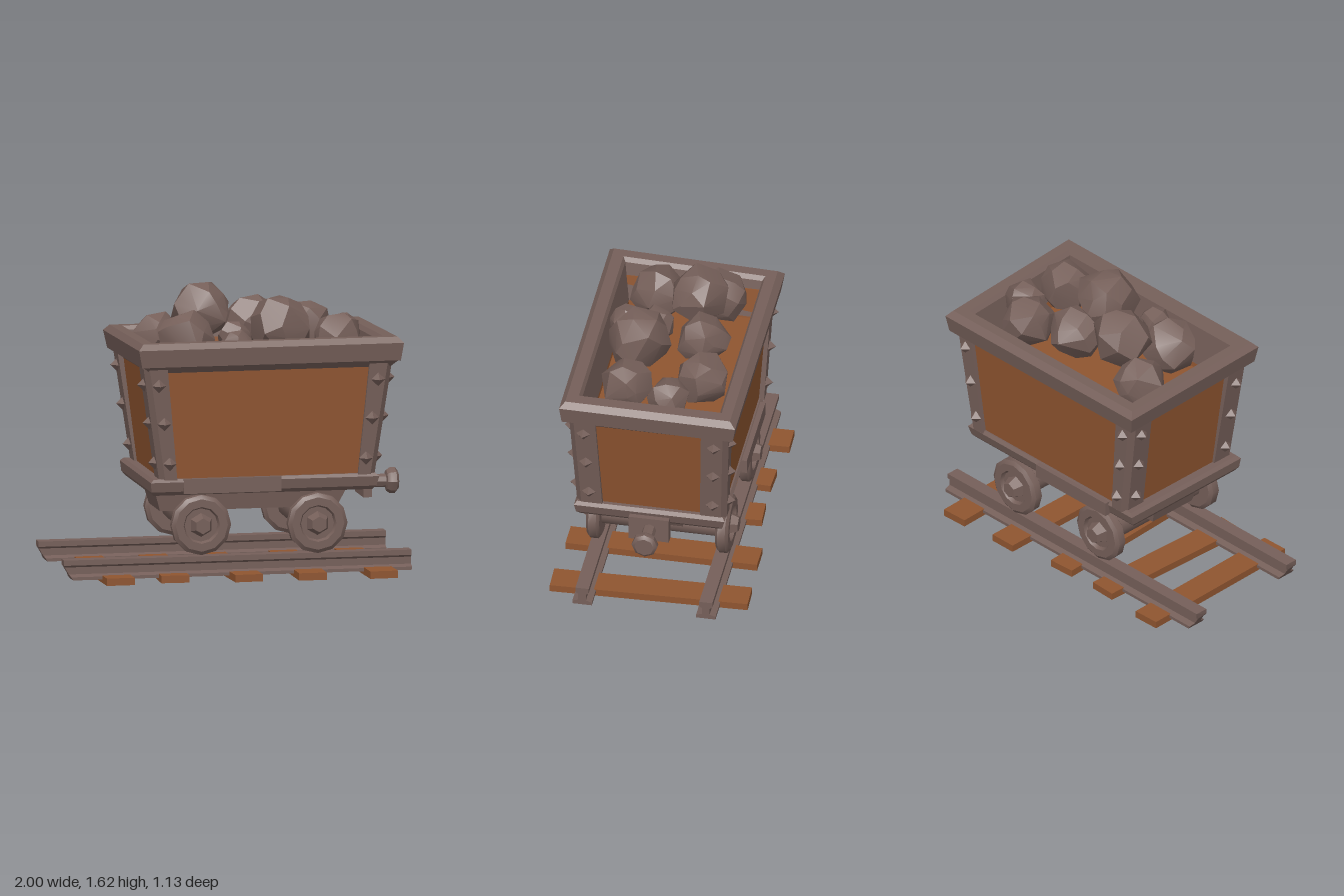
import * as THREE from 'three';
import { toCreasedNormals } from 'three/addons/utils/BufferGeometryUtils.js';
import { ConvexGeometry } from 'three/addons/geometries/ConvexGeometry.js';

const iron = new THREE.MeshStandardMaterial({ color: 0x755f59 });
iron.name = 'iron';
const wood = new THREE.MeshStandardMaterial({ color: 0x8f5530 });
wood.name = 'wood';

// Small seeded random generator
function seeded(seed) {
  let s = seed;
  return () => (s = (s * 16807) % 2147483647) / 2147483647;
}

// Counter-clockwise (from above) rectangle
const rect = (x0, x1, z0, z1) => [[x0, z1], [x1, z1], [x1, z0], [x0, z0]];

// Skin rings of [y, points]; caps close the first and last ring
function loft(rings, capBottom = true, capTop = true) {
  const pos = [];
  const put = ([y, pts], i) => pos.push(pts[i][0], y, pts[i][1]);
  const n = rings[0][1].length;
  for (let r = 0; r + 1 < rings.length; r++) {
    const a = rings[r], b = rings[r + 1];
    for (let i = 0; i < n; i++) {
      const j = (i + 1) % n;
      put(a, i); put(a, j); put(b, j);
      put(a, i); put(b, j); put(b, i);
    }
  }
  const first = rings[0], last = rings[rings.length - 1];
  for (let i = 1; i + 1 < n; i++) {
    if (capBottom) { put(first, 0); put(first, i + 1); put(first, i); }
    if (capTop) { put(last, 0); put(last, i); put(last, i + 1); }
  }
  const g = new THREE.BufferGeometry();
  g.setAttribute('position', new THREE.Float32BufferAttribute(pos, 3));
  g.computeVertexNormals();
  return g;
}

export function createModel() {
  const model = new THREE.Group();
  const add = (name, geo, mat, x = 0, y = 0, z = 0, parent = model) => {
    const m = new THREE.Mesh(geo, mat);
    m.name = name;
    m.position.set(x, y, z);
    parent.add(m);
    return m;
  };
  const crease = (g) => toCreasedNormals(g, 0.6);

  // Track sleepers: x, z centre, length, slight turn
  [[-0.71, 0, 1.04, -0.02], [-0.36, 0, 0.98, 0.04], [0.01, 0.02, 1.03, -0.05],
    [0.4, 0, 1.1, 0], [0.79, 0, 1.13, -0.03]].forEach(([x, z, len, turn]) => {
    add('sleeper', new THREE.BoxGeometry(0.16, 0.042, len), wood, x, 0.021, z).rotation.y = -turn;
  });

  // Rails with an I section and a slanted left end
  const section = new THREE.Shape([[-0.056, 0.02], [0.056, 0.02], [0.056, 0.038], [0.022, 0.05],
    [0.022, 0.09], [0.038, 0.102], [0.038, 0.132], [-0.038, 0.132], [-0.038, 0.102],
    [-0.022, 0.09], [-0.022, 0.05], [-0.056, 0.038]].map((p) => new THREE.Vector2(...p)));
  const railGeo = new THREE.ExtrudeGeometry(section, { depth: 2, bevelEnabled: false });
  railGeo.translate(0, 0, -1).rotateY(Math.PI / 2);
  const rp = railGeo.attributes.position;
  for (let i = 0; i < rp.count; i++) {
    if (rp.getX(i) < -0.9) rp.setX(i, -1 + 0.6 * Math.max(0, 0.1 - rp.getY(i)));
  }
  railGeo.computeVertexNormals();
  for (const s of [1, -1]) add('rail', railGeo, iron, 0, 0, 0.355 * s);

  // Wheels, hub nuts and axles
  const rim = [[0, -0.038], [0.15, -0.038], [0.172, -0.022], [0.172, 0.022], [0.15, 0.038],
    [0.105, 0.038], [0.095, 0.016], [0, 0.016]].map((p) => new THREE.Vector2(...p));
  const wheelGeo = crease(new THREE.LatheGeometry(rim, 12));
  const nutGeo = new THREE.CylinderGeometry(0.045, 0.072, 0.065, 6).toNonIndexed();
  nutGeo.computeVertexNormals();
  const axleGeo = crease(new THREE.CylinderGeometry(0.082, 0.082, 0.68, 12));
  for (const [x, y] of [[-0.21, 0.31], [0.46, 0.3]]) {
    add('axle', axleGeo, iron, x, y, 0).rotation.x = Math.PI / 2;
    for (const s of [1, -1]) {
      const wheel = new THREE.Group();
      wheel.name = 'wheel';
      wheel.position.set(x, y, 0.37 * s);
      wheel.rotation.x = s * Math.PI / 2;
      add('wheelRim', wheelGeo, iron, 0, 0, 0, wheel);
      add('hubNut', nutGeo, iron, 0, 0.04, 0, wheel);
      model.add(wheel);
    }
  }

  // Chassis: under beam, deck and side plates
  add('underBeam', loft([[0.36, rect(-0.4, 0.62, -0.15, 0.16)], [0.5, rect(-0.44, 0.69, -0.17, 0.18)]]), iron);
  add('deck', loft([
    [0.488, rect(-0.49, 0.77, -0.39, 0.41)], [0.51, rect(-0.505, 0.79, -0.41, 0.43)],
    [0.565, rect(-0.51, 0.805, -0.425, 0.44)], [0.582, rect(-0.49, 0.785, -0.41, 0.425)]]), iron);
  for (const s of [1, -1]) add('sidePlate', new THREE.BoxGeometry(0.56, 0.084, 0.03), iron, -0.04, 0.54, 0.43 * s);

  // Coupler at the right-hand end
  add('couplerPlate', new THREE.BoxGeometry(0.05, 0.15, 0.23), iron, 0.805, 0.47, 0.005);
  const coupler = [[0, 0.0], [0.038, 0.0], [0.038, 0.11], [0.06, 0.115], [0.074, 0.135],
    [0.074, 0.165], [0.055, 0.18], [0, 0.18]].map((p) => new THREE.Vector2(...p));
  add('coupler', crease(new THREE.LatheGeometry(coupler, 8)), iron, 0.82, 0.47, 0).rotation.z = -Math.PI / 2;

  // Tapered wooden tub, open at the top with a raised inner floor
  add('tub', loft([
    [0.57, rect(-0.44, 0.76, -0.4, 0.41)], [1.26, rect(-0.525, 0.87, -0.44, 0.44)],
    [1.26, rect(-0.46, 0.81, -0.38, 0.38)], [1.08, rect(-0.43, 0.78, -0.36, 0.36)]]), wood);

  // Angle irons wrapped around the four corners
  const cx = 0.165, y0 = 0.57, y1 = 1.25;
  const angle = (sx, sz, X, Z, xi, zi) => {
    const t = 0.05, c = 0.03;
    const pts = [[xi, Z], [X - c, Z], [X, Z - c], [X, zi], [X - t, zi], [X - t, Z - t], [xi, Z - t]]
      .map(([x, z]) => [cx + sx * x, sz * z]);
    return sx * sz < 0 ? pts.reverse() : pts;
  };
  const rivetGeo = new THREE.OctahedronGeometry(0.04);
  for (const sx of [1, -1]) for (const sz of [1, -1]) {
    add('cornerPost', loft([[y0, angle(sx, sz, 0.62, 0.43, 0.52, 0.28)],
      [y1, angle(sx, sz, 0.72, 0.46, 0.585, 0.305)]], true, false), iron);
    for (const y of [0.67, 0.9, 1.12]) {
      const k = (y - y0) / (y1 - y0);
      const X = 0.62 + 0.1 * k, Z = 0.43 + 0.03 * k;
      add('rivet', rivetGeo, iron, cx + sx * (X - 0.07), y, sz * Z);
      add('rivet', rivetGeo, iron, cx + sx * X, y, sz * (Z - 0.08));
    }
  }

  // Thick bevelled rim, slightly skewed and tilted
  const rimGeo = loft([
    [-0.18, rect(-0.43, 0.78, -0.36, 0.36)], [-0.07, rect(-0.55, 0.89, -0.47, 0.47)],
    [-0.065, rect(-0.57, 0.905, -0.488, 0.488)], [0.035, rect(-0.59, 0.92, -0.505, 0.5)],
    [0.068, rect(-0.56, 0.89, -0.47, 0.47)], [0.068, rect(-0.5, 0.82, -0.41, 0.405)],
    [0.045, rect(-0.48, 0.8, -0.395, 0.39)], [-0.18, rect(-0.43, 0.78, -0.36, 0.36)]], false, false);
  const p = rimGeo.attributes.position;
  for (let i = 0; i < p.count; i++) {
    if (p.getX(i) > 0.5) p.setX(i, p.getX(i) + 0.03 * p.getZ(i));
    p.setY(i, p.getY(i) + 0.03 * p.getZ(i));
  }
  rimGeo.computeVertexNormals();
  add('rim', rimGeo, iron, 0, 1.28, 0);

  // Load of rough stones: x, z, radius, top height
  [[-0.34, -0.19, 0.155, 1.44], [-0.11, -0.11, 0.175, 1.63], [0.19, -0.18, 0.155, 1.53],
    [0.51, -0.24, 0.16, 1.49], [0.69, -0.08, 0.125, 1.43], [-0.25, 0.15, 0.165, 1.5],
    [0.04, 0.11, 0.105, 1.43], [0.02, 0.28, 0.105, 1.4], [0.29, 0.17, 0.185, 1.58],
    [0.62, 0.17, 0.15, 1.47]].forEach(([x, z, r, top], i) => {
    const rnd = seeded(911 + i * 7537);
    const pts = [];
    for (let k = 0; k < 26; k++) {
      const v = 1 - 2 * (k + 0.5) / 26, a = k * 2.4 + rnd() * 0.9, h = Math.sqrt(1 - v * v);
      const q = r * (0.9 + 0.17 * rnd());
      pts.push(new THREE.Vector3(Math.cos(a) * h * q, v * q, Math.sin(a) * h * q));
    }
    add('stone', toCreasedNormals(new ConvexGeometry(pts), 0.45), iron, x, top - r * 0.98, z);
  });

  return model;
}
